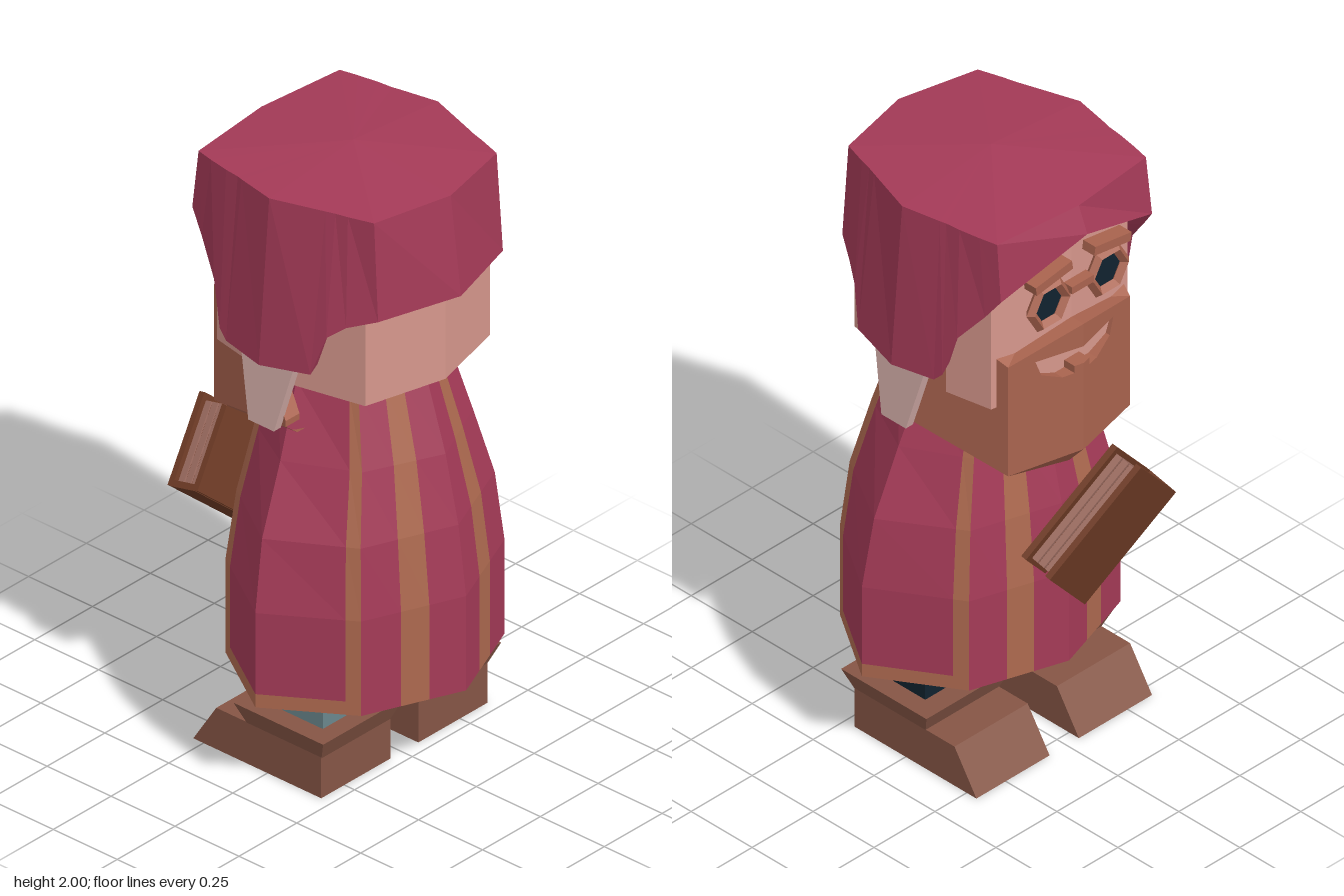
import * as THREE from 'three';

const mat = (name, color, double = true) => {
  const m = new THREE.MeshStandardMaterial({ color });
  m.name = name;
  if (double) m.side = THREE.DoubleSide;
  return m;
};

export function createModel() {
  const root = new THREE.Group();
  const cloth = mat('crimson cloth', 0xa43a57), trim = mat('tan trim', 0xad694f);
  const skin = mat('skin', 0xd6978c), beardMat = mat('brown beard', 0xa9634e);
  const hair = mat('pale hair', 0xd0aaa5), leather = mat('boot leather', 0x855545);
  const teal = mat('teal trousers', 0x6a868c), navy = mat('dark navy', 0x10222f);
  const coverMat = mat('book cover', 0x6e3b25), pageMat = mat('book pages', 0x9c6c60);

  const add = (name, geo, material, parent = root) => {
    const m = new THREE.Mesh(geo, material);
    m.name = name;
    parent.add(m);
    return m;
  };
  const box = (name, size, pos, material, parent) => {
    const m = add(name, new THREE.BoxGeometry(...size), material, parent);
    m.position.set(...pos);
    return m;
  };
  // flat-shaded surface from a list of triangles and quads
  const surface = (polys) => {
    const pos = [];
    for (const p of polys)
      for (let i = 1; i + 1 < p.length; i++) pos.push(...p[0], ...p[i], ...p[i + 1]);
    const g = new THREE.BufferGeometry();
    g.setAttribute('position', new THREE.Float32BufferAttribute(pos, 3));
    g.computeVertexNormals();
    return g;
  };
  // extruded outline whose points (u, v, depth) are remapped by a rule
  const slab = (pts, depth, rule) => {
    const shape = new THREE.Shape(pts.map(p => new THREE.Vector2(...p)));
    const src = new THREE.ExtrudeGeometry(shape, { depth, bevelEnabled: false });
    const g = src.index ? src.toNonIndexed() : src, a = g.attributes.position;
    for (let i = 0; i < a.count; i++) a.setXYZ(i, ...rule(a.getX(i), a.getY(i), a.getZ(i)));
    g.computeVertexNormals();
    return g;
  };
  const flip = p => [p[0], p[1], -p[2]];
  const lerp = (a, b, t) => a.map((v, i) => v + (b[i] - v) * t);

  // Robe: half-rings listed from back centre round to front centre
  const rings = [
    [0.31, [0.46, 0], [0.33, 0.31], [0.07, 0.48], [-0.20, 0.31], [-0.30, 0]],
    [0.63, [0.46, 0], [0.33, 0.31], [0.07, 0.48], [-0.20, 0.31], [-0.30, 0]],
    [0.86, [0.43, 0], [0.31, 0.29], [0.06, 0.44], [-0.18, 0.285], [-0.27, 0]],
    [1.08, [0.38, 0], [0.27, 0.24], [0.05, 0.35], [-0.15, 0.24], [-0.22, 0]],
    [1.33, [0.30, 0], [0.21, 0.19], [0.03, 0.25], [-0.12, 0.18], [-0.15, 0]],
  ];
  const ringPoint = (k, y) => {
    let i = 0;
    while (i < rings.length - 2 && y > rings[i + 1][0]) i++;
    const a = rings[i], b = rings[i + 1];
    const p = lerp(a[k], b[k], (y - a[0]) / (b[0] - a[0]));
    return [p[0], y, p[1]];
  };
  const rows = [0.31, 0.355, 0.63, 0.86, 1.08, 1.305, 1.33];
  const panels = [ // split points across each panel, and which split is trim
    [[0, 0.35, 0.62, 1], 1], [[0, 0.15, 1], 0], [[0, 0.85, 1], 1], [[0, 0.38, 0.65, 1], 1],
  ];
  const clothPolys = [], trimPolys = [];
  panels.forEach(([cuts, stripe], k) => {
    for (let r = 0; r + 1 < rows.length; r++)
      for (let c = 0; c + 1 < cuts.length; c++) {
        const at = (u, y) => lerp(ringPoint(k + 1, y), ringPoint(k + 2, y), u);
        const q = [at(cuts[c], rows[r]), at(cuts[c], rows[r + 1]),
          at(cuts[c + 1], rows[r + 1]), at(cuts[c + 1], rows[r])];
        const edge = (k === 1 || k === 2) && (r === 0 || r === rows.length - 2);
        (c === stripe || edge ? trimPolys : clothPolys).push(q, q.map(flip).reverse());
      }
  });
  for (const y of [0.31, 1.33]) {
    const half = [1, 2, 3, 4, 5].map(k => ringPoint(k, y));
    clothPolys.push([...half, ...half.slice(1, 4).reverse().map(flip)]);
  }
  add('robe', surface(clothPolys), cloth);
  add('robeTrim', surface(trimPolys), trim);

  // Head: eight-sided block
  const headHalf = [[0.38, 0], [0.31, 0.27], [0.02, 0.335], [-0.26, 0.28], [-0.31, 0]];
  const headRing = [...headHalf, ...headHalf.slice(1, 4).reverse().map(([x, z]) => [x, -z])];
  add('head', slab(headRing, 0.55, (x, z, d) => [x, 1.335 + d, z]), skin);

  // Hat: top rim x, z then lower edge x, y, z, with long side flaps
  const hatCols = [
    [0.40, 0, 0.44, 1.64, 0], [0.34, 0.265, 0.36, 1.64, 0.27], [0.26, 0.29, 0.28, 1.61, 0.32],
    [0.22, 0.30, 0.23, 1.57, 0.35], [0.19, 0.31, 0.19, 1.44, 0.375], [0.02, 0.365, 0.02, 1.42, 0.41],
    [-0.11, 0.34, -0.13, 1.43, 0.385], [-0.13, 0.335, -0.16, 1.46, 0.38], [-0.18, 0.33, -0.20, 1.60, 0.36],
    [-0.25, 0.318, -0.28, 1.70, 0.325], [-0.31, 0.305, -0.33, 1.77, 0.31], [-0.34, 0, -0.375, 1.88, 0],
  ];
  const hatPolys = [];
  for (let i = 0; i + 1 < hatCols.length; i++) {
    const [a, b] = [hatCols[i], hatCols[i + 1]];
    const top = c => [c[0], 1.965, c[1]], low = c => [c[2], c[3], c[4]];
    const inner = c => [0.03 + (c[2] - 0.03) * 0.84, c[3], c[4] * 0.84];
    const parts = [[top(a), [0.02, 2, 0], top(b)], [low(a), top(a), top(b), low(b)],
      [inner(a), low(a), low(b), inner(b)]];
    for (const p of parts) hatPolys.push(p, p.map(flip).reverse());
  }
  add('hat', surface(hatPolys), cloth);

  // Beard: bent front with a mouth opening, side panels and bevelled underside
  const beard = new THREE.Group();
  beard.name = 'beard';
  root.add(beard);
  const frontHalf = [[0, 1.10], [0.25, 1.10], [0.25, 1.49], [0, 1.55], [0, 1.47], [0.16, 1.475],
    [0.14, 1.42], [0.07, 1.385], [0.03, 1.385], [0.03, 1.41], [0, 1.41]];
  const sideShape = [[-0.30, 1.10], [0.09, 1.22], [0.09, 1.24], [-0.05, 1.43], [-0.10, 1.55],
    [-0.18, 1.55], [-0.30, 1.49]];
  const chinPolys = [];
  const outer = [[-0.36, 1.10, 0], [-0.30, 1.10, 0.25], [0.09, 1.22, 0.37]];
  const inside = [[-0.30, 1.03, 0], [-0.26, 1.06, 0.20], [0.09, 1.18, 0.32]];
  for (let i = 0; i < 2; i++) chinPolys.push([outer[i], outer[i + 1], inside[i + 1], inside[i]]);
  chinPolys.push([inside[0], inside[1], inside[2], [0.09, 1.18, 0]]);
  add('beardUnderside', surface([...chinPolys, ...chinPolys.map(p => p.map(flip).reverse())]), beardMat, beard);
  for (const s of [1, -1]) {
    add('beardFront', slab(frontHalf, 0.05, (z, y, d) => [-0.36 + 0.24 * z + d, y, s * z]), beardMat, beard);
    add('beardSide', slab(sideShape, 0.06,
      (x, y, d) => [x, y, s * (0.25 + 0.31 * (x + 0.30) - d)]), beardMat, beard);
    // Sideburn tapering down beneath the hat flap
    add('sideburn', slab([[-0.03, 1.21], [0.07, 1.21], [0.13, 1.46], [-0.09, 1.46]], 0.03,
      (x, y, d) => [x, y, s * (0.40 - 0.12 * (y - 1.21) - d)]), hair);
  }
  box('mouth', [0.01, 0.12, 0.36], [-0.305, 1.43, 0], skin);

  // Spectacles with dark eyes and brows
  for (const s of [1, -1]) {
    const rim = add('spectacleRim', new THREE.TorusGeometry(0.072, 0.018, 4, 6).toNonIndexed(), beardMat);
    rim.geometry.computeVertexNormals();
    rim.position.set(-0.335, 1.67, s * 0.12);
    rim.rotation.y = -Math.PI / 2;
    const eye = add('eye', new THREE.CylinderGeometry(0.066, 0.066, 0.008, 6), navy);
    eye.position.set(-0.325, 1.67, s * 0.12);
    eye.rotation.z = Math.PI / 2;
    const brow = box('brow', [0.05, 0.03, 0.15], [-0.335, 1.775, s * 0.12], beardMat);
    brow.rotation.x = s * 0.15;
  }
  box('spectacleBridge', [0.035, 0.025, 0.09], [-0.34, 1.69, 0], beardMat);

  // Legs and flared boots
  const bootShape = [[-0.29, 0], [0.21, 0], [0.21, 0.14], [-0.20, 0.14]];
  for (const z of [0.2, -0.22]) {
    const leg = new THREE.Group();
    leg.name = z > 0 ? 'frontSideLeg' : 'backSideLeg';
    root.add(leg);
    box('trouserLeg', [0.22, 0.18, 0.22], [0.07, 0.27, z], [teal, navy, teal, teal, teal, navy], leg);
    add('boot', slab(bootShape, 0.30, (x, y, d) => [x, y, z + d - 0.15]), leather, leg);
    const cuff = box('bootCuff', [0.35, 0.07, 0.35], [0.065, 0.17, z], leather, leg);
    const a = cuff.geometry.attributes.position;
    for (let i = 0; i < a.count; i++)
      if (a.getY(i) < 0) a.setXYZ(i, a.getX(i) * 0.83, a.getY(i), a.getZ(i) * 0.85);
    cuff.geometry = cuff.geometry.toNonIndexed();
    cuff.geometry.computeVertexNormals();
    if (z) cuff.material = leather;
  }

  // Tilted book: local x along the spine, y towards the spine, z outwards
  const book = new THREE.Group();
  book.name = 'book';
  const ex = new THREE.Vector3(0.06, -0.276, -0.32).normalize();
  const ez = ex.clone().cross(new THREE.Vector3(0.05, -0.22, 0.19)).normalize();
  const ey = ez.clone().cross(ex);
  book.quaternion.setFromRotationMatrix(new THREE.Matrix4().makeBasis(ex, ey, ez));
  book.position.set(-0.346, 0.785, 0.075);
  root.add(book);
  for (const s of [1, -1]) box('cover', [0.42, 0.29, 0.02], [0, 0, s * 0.05], coverMat, book);
  box('spine', [0.42, 0.02, 0.10], [0, 0.137, 0], coverMat, book);
  for (const k of [-1, 0, 1]) box('pages', [0.39, 0.25, 0.022], [0, 0, k * 0.027], pageMat, book);
  for (const s of [1, -1]) box('pageGap', [0.38, 0.24, 0.006], [0, 0.005, s * 0.0135], coverMat, book);

  return root;
}
